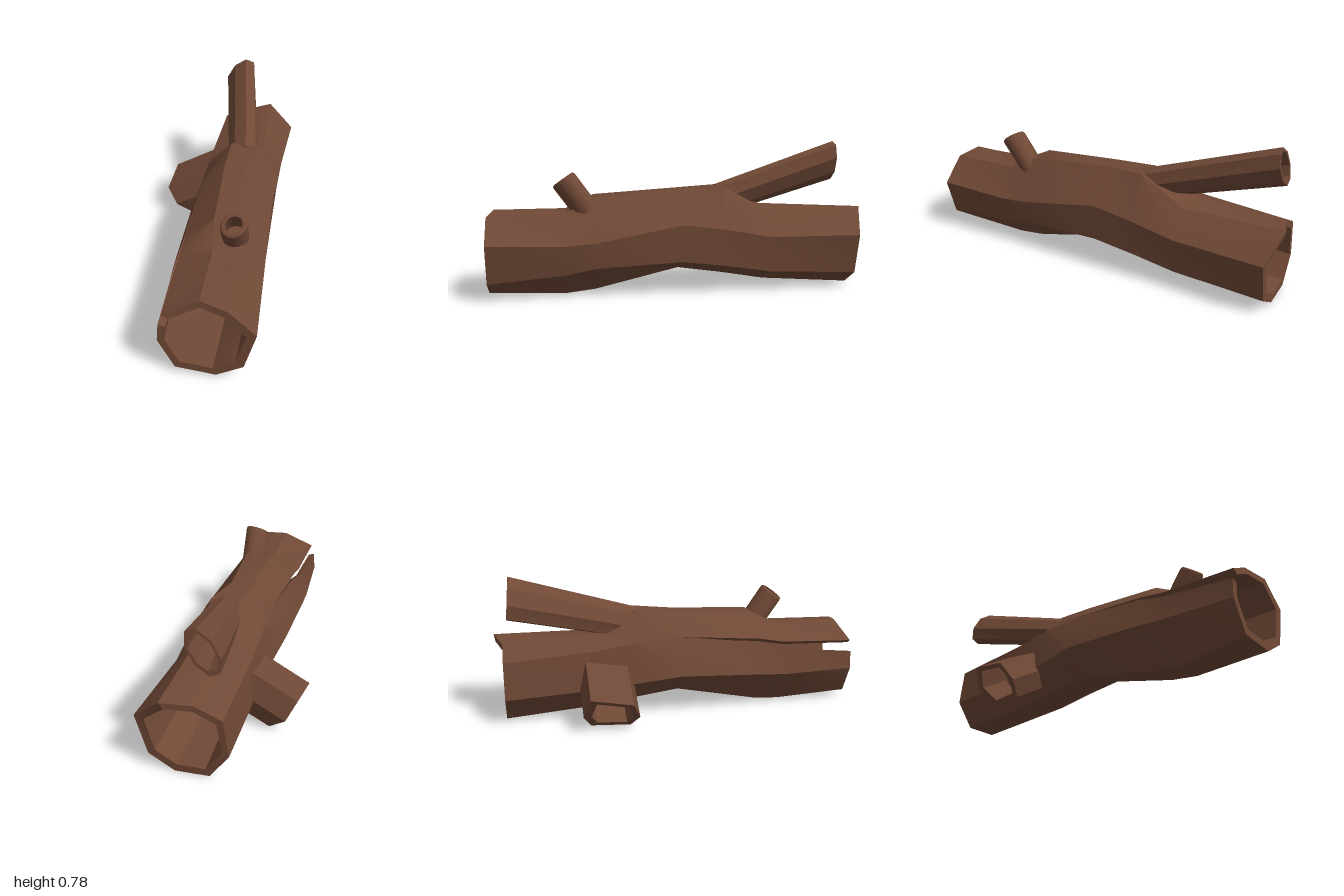
import * as THREE from 'three';
import { toCreasedNormals } from 'three/addons/utils/BufferGeometryUtils.js';

const bark = new THREE.MeshStandardMaterial({ color: 0x704936 });
bark.name = 'bark brown';

// Walled tube: each section is an open C of outer points, clockwise as seen from its first end.
function shell(name, sections, wall) {
  const pos = [];
  const quad = (a, b, c, d) => pos.push(...a, ...b, ...c, ...a, ...c, ...d);
  const loops = sections.map((outer) => {
    const n = outer.length;
    const mid = [0, 1, 2].map((k) => outer.reduce((s, p) => s + p[k], 0) / n);
    const inner = outer.map((p) => p.map((x, k) => mid[k] + (x - mid[k]) * wall));
    return { outer, inner, all: [...outer, ...inner.slice().reverse()] };
  });
  for (let i = 0; i < loops.length - 1; i++) {
    const a = loops[i].all, b = loops[i + 1].all, m = a.length;
    for (let j = 0; j < m; j++) quad(a[j], a[(j + 1) % m], b[(j + 1) % m], b[j]);
  }
  // end rims
  const first = loops[0], last = loops[loops.length - 1];
  for (let j = 0; j < first.outer.length - 1; j++) {
    quad(first.outer[j], first.inner[j], first.inner[j + 1], first.outer[j + 1]);
    quad(last.outer[j], last.outer[j + 1], last.inner[j + 1], last.inner[j]);
  }
  const geo = new THREE.BufferGeometry();
  geo.setAttribute('position', new THREE.Float32BufferAttribute(pos, 3));
  const mesh = new THREE.Mesh(toCreasedNormals(geo, 0.45), bark);
  mesh.name = name;
  return mesh;
}

// Elliptical section from a centre and two half-axes (u x v points along the tube)
function ring(c, u, v, n) {
  return Array.from({ length: n + 1 }, (_, i) => {
    const t = ((i % n) / n) * Math.PI * 2;
    return c.map((x, k) => x + u[k] * Math.cos(t) + v[k] * Math.sin(t));
  });
}

export function createModel() {
  const log = new THREE.Group();
  log.name = 'hollowLog';

  // Trunk: one row per station, from left shoulder over the top and round to the left side
  const stations = [
    [1, [-.085, .36], [.085, .445, .97], [.22, .425], [.35, .3], [.295, .095], [.165, .02], [-.03, .04], [-.11, .2]],
    [.6, [-.085, .375], [.085, .445], [.22, .435], [.335, .285], [.3, .13], [.17, .003], [.01, .005], [-.14, .2]],
    [.45, [-.08, .4], [.065, .515], [.21, .515], [.33, .295], [.31, .16], [.17, .02], [0, .02], [-.145, .21]],
    [0, [-.075, .435], [.045, .54], [.165, .545], [.32, .375], [.315, .18], [.125, .11], [0, .11], [-.145, .23]],
    [-.23, [-.08, .42], [.05, .555], [.205, .56], [.325, .345], [.31, .15], [.145, .08], [0, .08], [-.12, .2]],
    [-.47, [-.087, .385], [.06, .445], [.21, .43], [.325, .3], [.303, .11], [.158, .04], [0, .045], [-.112, .175]],
    [-.95, [-.085, .35], [.05, .41], [.2, .435, -1], [.35, .3], [.295, .085], [.165, .005], [-.01, .012], [-.11, .15]],
  ];
  // lower lip of the split that opens toward the front left
  const lips = [[-.102, .3], [-.104, .342], [-.088, .383]];
  const trunk = stations.map(([z, ...pts], i) =>
    [...pts, lips[i] || pts[0]].map((p) => [p[0], p[1], p[2] ?? z]));
  log.add(shell('trunk', trunk, 0.82));

  // Long branch rising toward the back
  log.add(shell('longBranch', [
    ring([.125, .475, -.2], [.01, .09, 0], [.085, .01, 0], 8),
    ring([.01, .675, -.91], [.03, .11, .01], [.085, .02, 0], 8),
  ], 0.8));

  // Stub pointing down to the side: tip corner, then how far it runs back into the trunk
  const stub = [
    [-.35, .165, -.3, .24], [-.335, .2, -.52, .235], [-.28, .09, -.555, .2],
    [-.185, .005, -.51, .16], [-.215, .005, -.3, .18], [-.29, .075, -.26, .21],
  ];
  stub.push(stub[0]);
  log.add(shell('sideStub', [
    stub.map(([x, y, z, run]) => [x + run, y + run * .56, z]),
    stub.map(([x, y, z]) => [x, y, z]),
  ], 0.75));

  // Small round knot on top, with a softened rim
  const knot = [[0, .066], [.93, .067], [.98, .064], [1, .057]].map(([t, r]) =>
    ring([.18 + .005 * t, .435 + .175 * t, .485 + .125 * t], [0, -.57 * r, .82 * r], [r, .15 * r, 0], 16));
  log.add(shell('smallKnot', knot, 0.74));

  return log;
}
